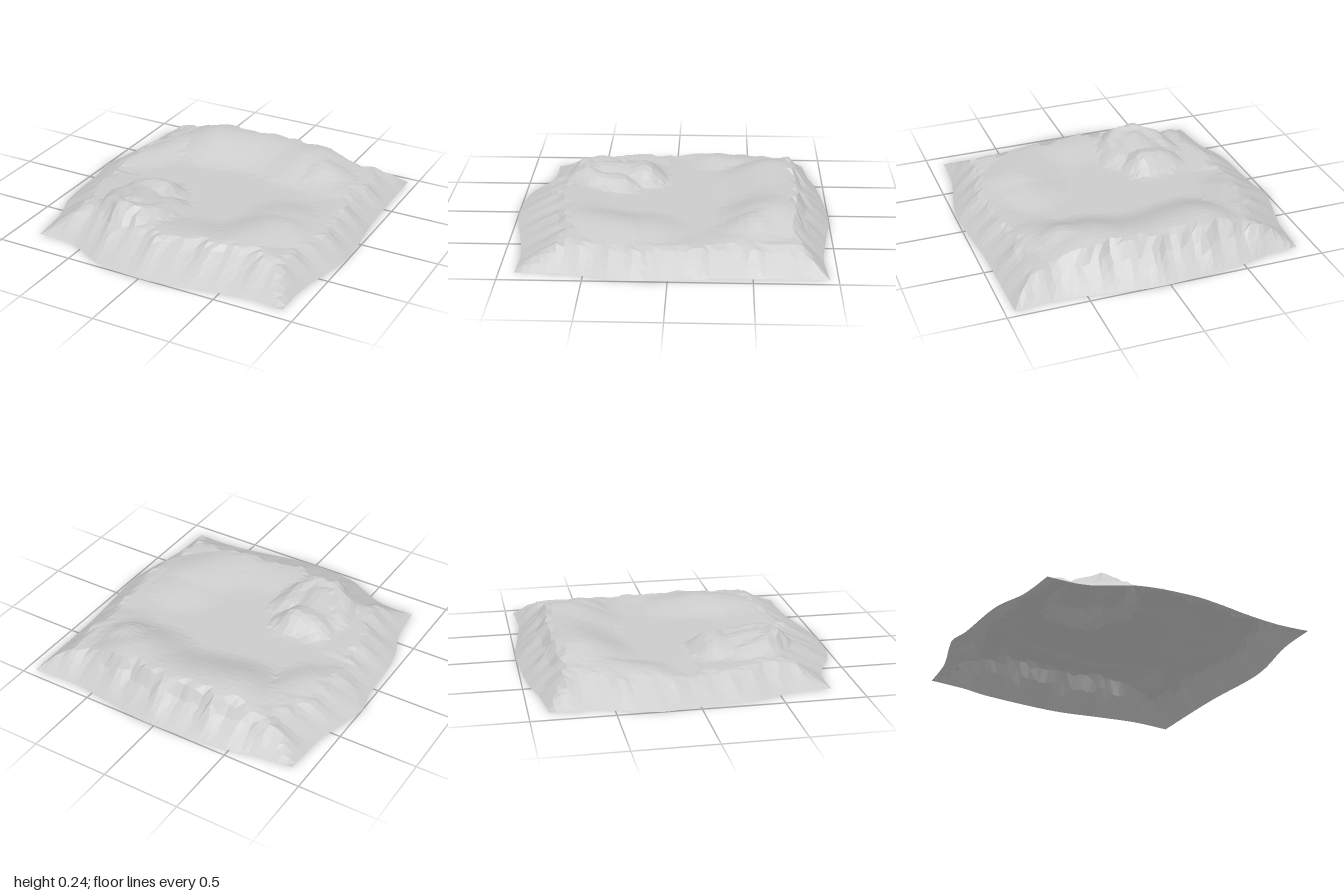
import * as THREE from 'three';

const curve = (pts) => new THREE.SplineCurve(pts.map(([x, z]) => new THREE.Vector2(x, z)));

// Irregular outline of the ground sheet, one curve per side (x, z)
const back = curve([[-0.89, -0.88], [-0.65, -0.91], [-0.44, -0.96], [0.05, -1], [0.4, -0.96], [0.67, -0.93], [0.94, -0.95]]);
const front = curve([[-0.83, 0.83], [-0.58, 0.84], [-0.3, 0.97], [0, 1], [0.2, 0.98], [0.45, 0.93], [0.7, 0.9], [0.9, 0.91]]);
const sideA = curve([[-0.89, -0.88], [-0.91, -0.6], [-0.98, -0.32], [-1, -0.2], [-0.97, -0.06], [-0.94, 0.33], [-0.86, 0.57], [-0.83, 0.83]]);
const sideB = curve([[0.94, -0.95], [0.95, -0.34], [0.99, 0.2], [0.91, 0.63], [0.9, 0.91]]);

// Crest lines: points are (x, z, height), width is the reach of the slope
const ridges = [
  // long curved ridge at the back, broad in the middle and narrower at its ends
  { width: 0.42, pts: [[-0.32, -0.66, 0.24], [0, -0.73, 0.226], [0.2, -0.72, 0.226], [0.36, -0.65, 0.24]] },
  { width: 0.27, pts: [[-0.72, -0.58, 0.148], [-0.55, -0.54, 0.175], [-0.34, -0.66, 0.24]] },
  { width: 0.27, pts: [[0.36, -0.65, 0.24], [0.5, -0.53, 0.222], [0.66, -0.42, 0.155]] },
  // shoulder beside the side valley
  { width: 0.2, pts: [[-0.55, -0.5, 0.172], [-0.66, -0.28, 0.158], [-0.8, -0.25, 0.142]] },
  // domed knoll at the front, steep along its outer curve
  { width: 0.15, pts: [[-0.5, 0.36, 0.19], [-0.47, 0.5, 0.22], [-0.37, 0.59, 0.243], [-0.25, 0.59, 0.236], [-0.18, 0.5, 0.21], [-0.17, 0.34, 0.19]] },
  { width: 0.26, pts: [[-0.36, 0.32, 0.208], [-0.33, 0.48, 0.228]] },
  { width: 0.18, pts: [[-0.42, 0.22, 0.212], [-0.3, 0.2, 0.23]] },
  // gentle rise on the right and the low front rim
  { width: 0.32, pts: [[0.55, 0.16, 0.166], [0.56, 0.3, 0.186], [0.48, 0.46, 0.182], [0.4, 0.6, 0.175], [0.2, 0.64, 0.162], [-0.1, 0.66, 0.158]] },
  // corner and side shoulders
  { width: 0.24, pts: [[0.5, 0.58, 0.17], [0.72, 0.62, 0.148]] },
  { width: 0.25, pts: [[0.74, -0.7, 0.142], [0.78, -0.3, 0.135], [0.78, 0.1, 0.135], [0.74, 0.5, 0.142]] },
  { width: 0.25, pts: [[-0.72, -0.66, 0.148], [-0.4, -0.74, 0.2]] },
  { width: 0.25, pts: [[-0.7, 0.28, 0.135], [-0.58, 0.6, 0.145]] },
];

const FLOOR = 0.122;
const smooth = THREE.MathUtils.smoothstep;

// Height of the ground before it slopes down to the border
function groundHeight(x, z) {
  let top = FLOOR - 0.012 * (1 - smooth(Math.hypot((x + 0.75) / 0.3, (z - 0.02) / 0.18), 0, 1));
  for (const { width, pts } of ridges) {
    for (let i = 0; i < pts.length - 1; i++) {
      const [ax, az, ah] = pts[i], [bx, bz, bh] = pts[i + 1];
      const dx = bx - ax, dz = bz - az;
      const k = THREE.MathUtils.clamp(((x - ax) * dx + (z - az) * dz) / (dx * dx + dz * dz), 0, 1);
      const d = Math.hypot(x - ax - k * dx, z - az - k * dz) / width;
      if (d < 1) top = Math.max(top, FLOOR + (ah + k * (bh - ah) - FLOOR) * (1 - d * d) ** 2);
    }
  }
  return top;
}

// Highest point the outer bank allows; small waves cut gullies into it
function bankHeight(u, t) {
  const bank = (d, width, p, k) => {
    const wave = 1 + 0.08 * Math.sin(p * 31 + k) + 0.07 * Math.sin(p * 67 + 2 * k);
    const s = (d * 1.88) / (width * wave);
    return s < 1 ? 0.14 * s : 0.14 + 0.3 * (s - 1);
  };
  return Math.min(
    bank(t, 0.15, u, 1), bank(1 - t, 0.26, u, 2),
    bank(u, 0.22, t, 3), bank(1 - u, 0.17, t, 4),
  );
}

function seeded(seed) {
  return () => {
    seed = (seed * 16807) % 2147483647;
    return seed / 2147483647 - 0.5;
  };
}

function createGround() {
  const n = 40;
  const rand = seeded(77);
  const geo = new THREE.PlaneGeometry(2, 2, n, n).rotateX(-Math.PI / 2);
  const pos = geo.attributes.position, uv = geo.attributes.uv;
  const c00 = back.getPoint(0), c10 = back.getPoint(1), c01 = front.getPoint(0), c11 = front.getPoint(1);
  for (let i = 0; i < pos.count; i++) {
    let u = uv.getX(i), t = 1 - uv.getY(i);
    const inside = u > 0.001 && u < 0.999 && t > 0.001 && t < 0.999;
    if (inside) {
      u += (rand() * 0.5) / n;
      t += (rand() * 0.5) / n;
    }
    // blend the four border curves across the sheet
    const b = back.getPointAt(u), f = front.getPointAt(u), l = sideA.getPointAt(t), r = sideB.getPointAt(t);
    const mix = (a) => (1 - t) * b[a] + t * f[a] + (1 - u) * l[a] + u * r[a]
      - ((1 - u) * (1 - t) * c00[a] + u * (1 - t) * c10[a] + (1 - u) * t * c01[a] + u * t * c11[a]);
    const x = mix('x'), z = mix('y');
    pos.setXYZ(i, x, inside ? Math.min(groundHeight(x, z), bankHeight(u, t)) : 0, z);
  }
  geo.computeVertexNormals();
  return geo;
}

export function createModel() {
  const group = new THREE.Group();
  group.name = 'terrain';
  const material = new THREE.MeshStandardMaterial({ color: 0xcccccc, flatShading: true, side: THREE.DoubleSide });
  const ground = new THREE.Mesh(createGround(), material);
  ground.name = 'ground';
  group.add(ground);
  return group;
}
